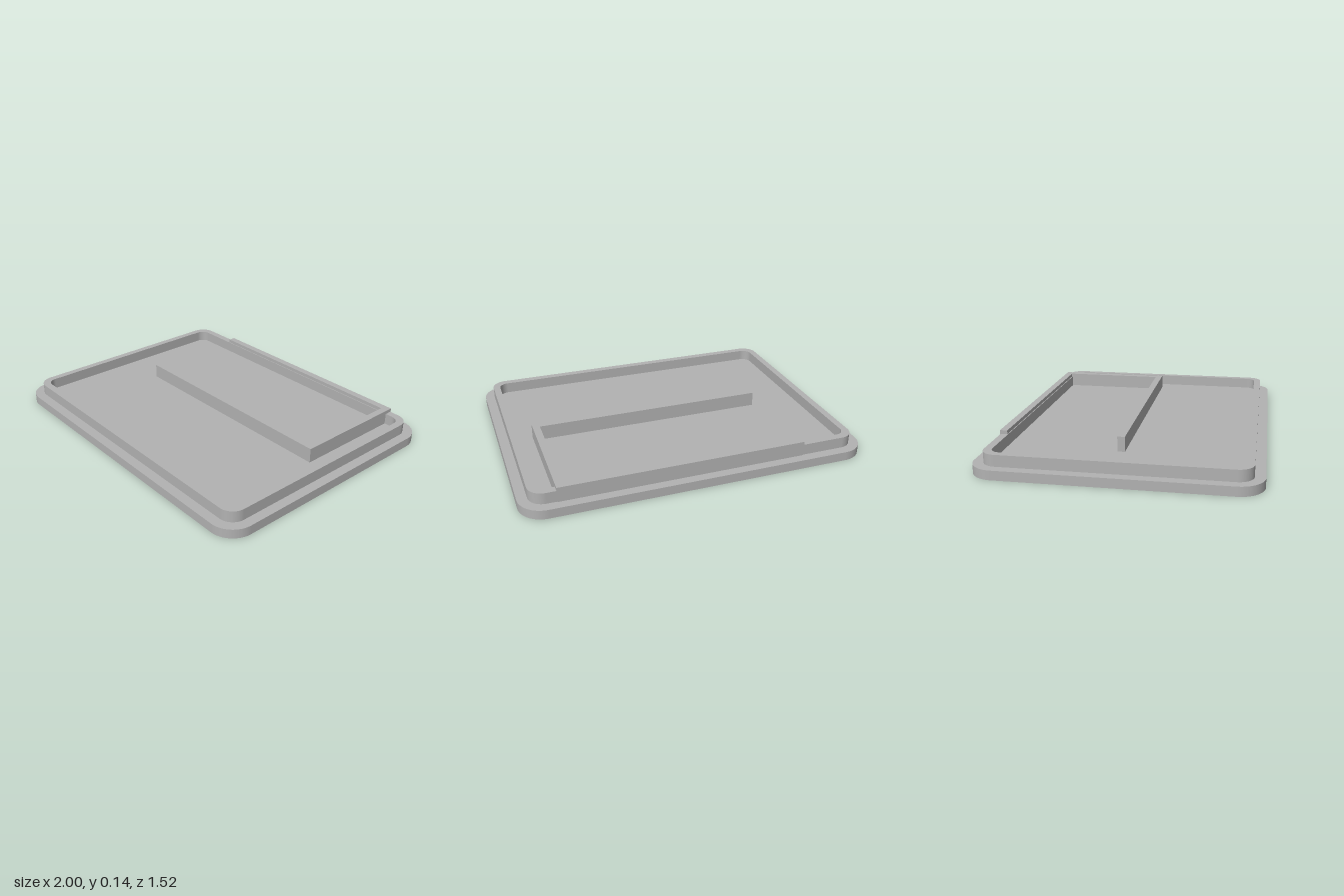
import * as THREE from 'three';

const grey = new THREE.MeshStandardMaterial({ color: 0xb2b2b2 });
grey.name = 'plain grey';

// Trace a rounded rectangle centred on the origin
function roundedRect(path, halfX, halfZ, r) {
  const corners = [[1, 1, 0], [-1, 1, 0.5], [-1, -1, 1], [1, -1, 1.5]];
  path.moveTo(halfX, halfZ - r);
  for (const [sx, sz, a] of corners) {
    path.absarc(sx * (halfX - r), sz * (halfZ - r), r, a * Math.PI, (a + 0.5) * Math.PI, false);
  }
  path.closePath();
  return path;
}

// Raise a flat outline from height y0 to y1
function raise(name, shape, y0, y1) {
  const geometry = new THREE.ExtrudeGeometry(shape, { depth: y1 - y0, bevelEnabled: false, curveSegments: 16 });
  geometry.rotateX(-Math.PI / 2).translate(0, y0, 0);
  const mesh = new THREE.Mesh(geometry, grey);
  mesh.name = name;
  return mesh;
}

export function createModel() {
  const model = new THREE.Group();
  model.name = 'lid';
  const baseTop = 0.053, rimTop = 0.118, ribTop = 0.139;

  // Flat base plate
  model.add(raise('basePlate', roundedRect(new THREE.Shape(), 1, 0.762, 0.14), 0, baseTop));

  // Thin raised rim, open in the middle
  const rim = roundedRect(new THREE.Shape(), 0.944, 0.705, 0.085);
  rim.holes.push(roundedRect(new THREE.Path(), 0.903, 0.662, 0.055));
  model.add(raise('rim', rim, baseTop, rimTop));

  // Three-sided rib, open at -x; outline y is -z
  const rib = new THREE.Shape([
    [-0.61, 0], [0.804, 0], [0.804, 0.709], [-0.61, 0.709],
    [-0.61, 0.667], [0.762, 0.667], [0.762, 0.042], [-0.61, 0.042],
  ].map(([x, y]) => new THREE.Vector2(x, y)));
  model.add(raise('rib', rib, baseTop, ribTop));

  return model;
}
